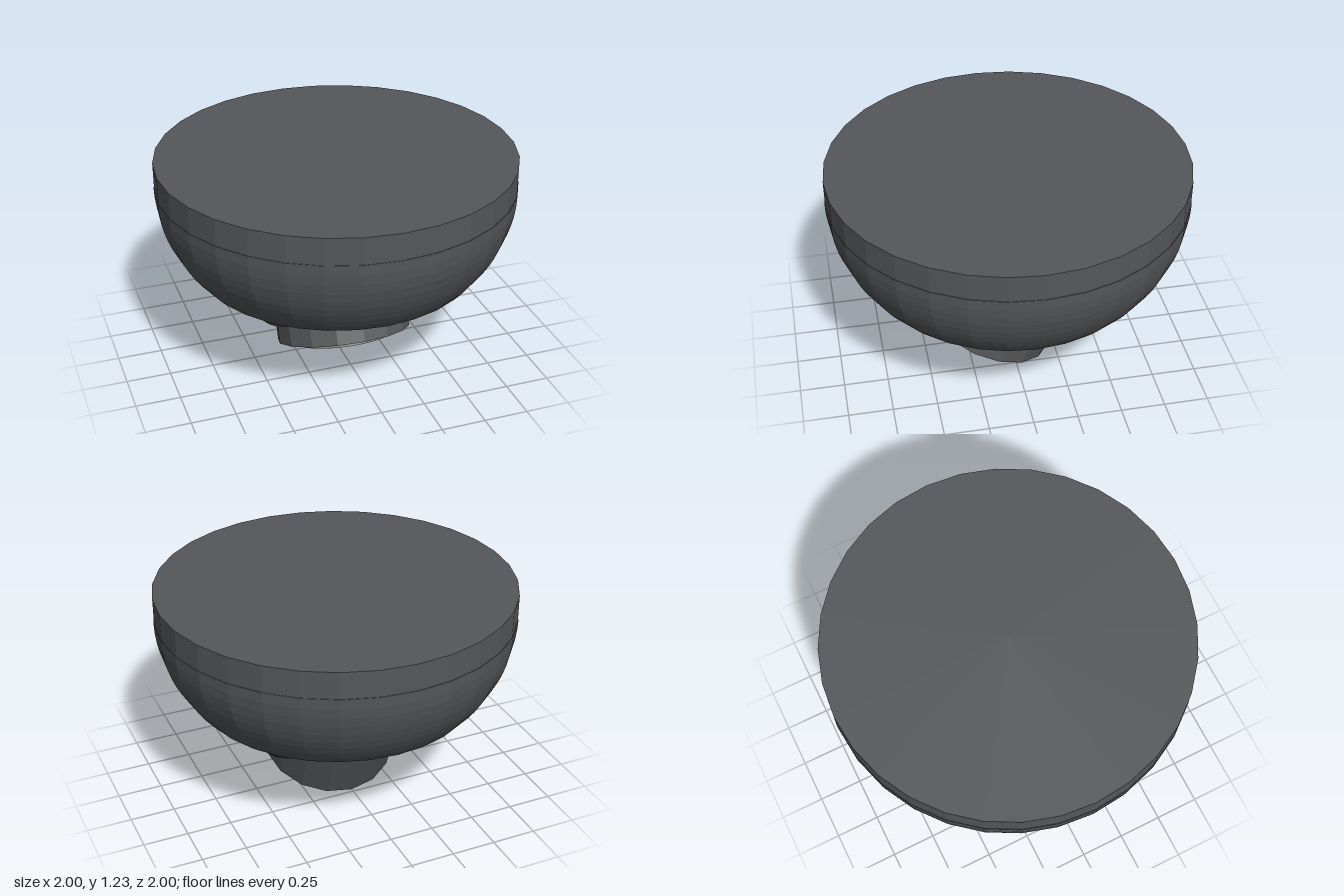
import * as THREE from 'three';
import { ParametricGeometry } from 'three/addons/geometries/ParametricGeometry.js';

const mat = (color, side = THREE.FrontSide) =>
  new THREE.MeshStandardMaterial({ color, flatShading: true, side });

function add(parent, name, geometry, material, y = 0) {
  const mesh = new THREE.Mesh(geometry, material);
  mesh.name = name;
  mesh.position.y = y;
  parent.add(mesh);
  return mesh;
}

// Lower dome: a sphere cut by an elliptical tunnel running along z
const R = 0.725, CY = 0.857;             // sphere radius and centre height
const A = 0.475, B = 0.247, TY = 0.331;  // tunnel half-width, height, centre
const TIP = 0.307, RIM = 0.585;          // lowest point and top of the lobes
const sphereRadius = (y) => Math.sqrt(Math.max(0, R * R - (y - CY) ** 2));
const tunnelHalf = (y) => A * Math.sqrt(Math.max(0, 1 - ((y - TY) / B) ** 2));

// Outside of one lobe, side = 1 or -1
const lobe = (side) => (u, v, p) => {
  const y = TIP + (RIM - TIP) * (1 - (1 - v) ** 2);
  const r = sphereRadius(y);
  const angle = Math.acos(Math.min(1, tunnelHalf(y) / r)) * (2 * u - 1);
  p.set(side * r * Math.cos(angle), y, r * Math.sin(angle));
};

// Concave tunnel wall, from one lobe tip over the roof to the other
const start = Math.asin((TIP - TY) / B);
function tunnel(u, v, p) {
  const t = start + (Math.PI - 2 * start) * u;
  const x = A * Math.cos(t), y = TY + B * Math.sin(t);
  const z = Math.sqrt(Math.max(0, sphereRadius(y) ** 2 - x * x));
  p.set(x, y, z * (2 * v - 1));
}

export function createModel() {
  const model = new THREE.Group();
  model.name = 'domeCamera';
  const body = mat(0x55575a);
  const shell = mat(0x55575a, THREE.DoubleSide);

  // Ceiling plate
  add(model, 'mountingPlate', new THREE.CylinderGeometry(0.997, 0.997, 0.152, 32), body, 1.154);

  // Rounded housing with a flat underside
  const profile = [new THREE.Vector2(0, RIM)];
  const steps = 9, low = Math.asin(0.6);
  for (let i = 0; i <= steps; i++) {
    const t = low * (1 - i / steps);
    profile.push(new THREE.Vector2(Math.cos(t), 1.08 - 0.825 * Math.sin(t)));
  }
  profile.push(new THREE.Vector2(0, 1.08));
  add(model, 'housing', new THREE.LatheGeometry(profile, 32), body);

  // Slotted dome
  const dome = new THREE.Group();
  dome.name = 'slottedDome';
  add(dome, 'leftLobe', new ParametricGeometry(lobe(1), 24, 12), shell);
  add(dome, 'rightLobe', new ParametricGeometry(lobe(-1), 24, 12), shell);
  add(dome, 'slotWall', new ParametricGeometry(tunnel, 32, 16), shell);
  model.add(dome);

  // Tilted camera barrel; its origin is the centre of the lower face
  const barrel = new THREE.Group();
  barrel.name = 'cameraBarrel';
  barrel.position.set(0, 0.147, 0.125);
  barrel.rotation.x = -0.39;
  add(barrel, 'barrelBody', new THREE.CylinderGeometry(0.383, 0.383, 0.72, 16), body, 0.36);
  add(barrel, 'lensRing', new THREE.CylinderGeometry(0.267, 0.267, 0.06, 32), mat(0x808583), -0.005);
  add(barrel, 'lens', new THREE.CylinderGeometry(0.193, 0.193, 0.06, 32), mat(0x8a3a42), -0.02);
  model.add(barrel);

  return model;
}
